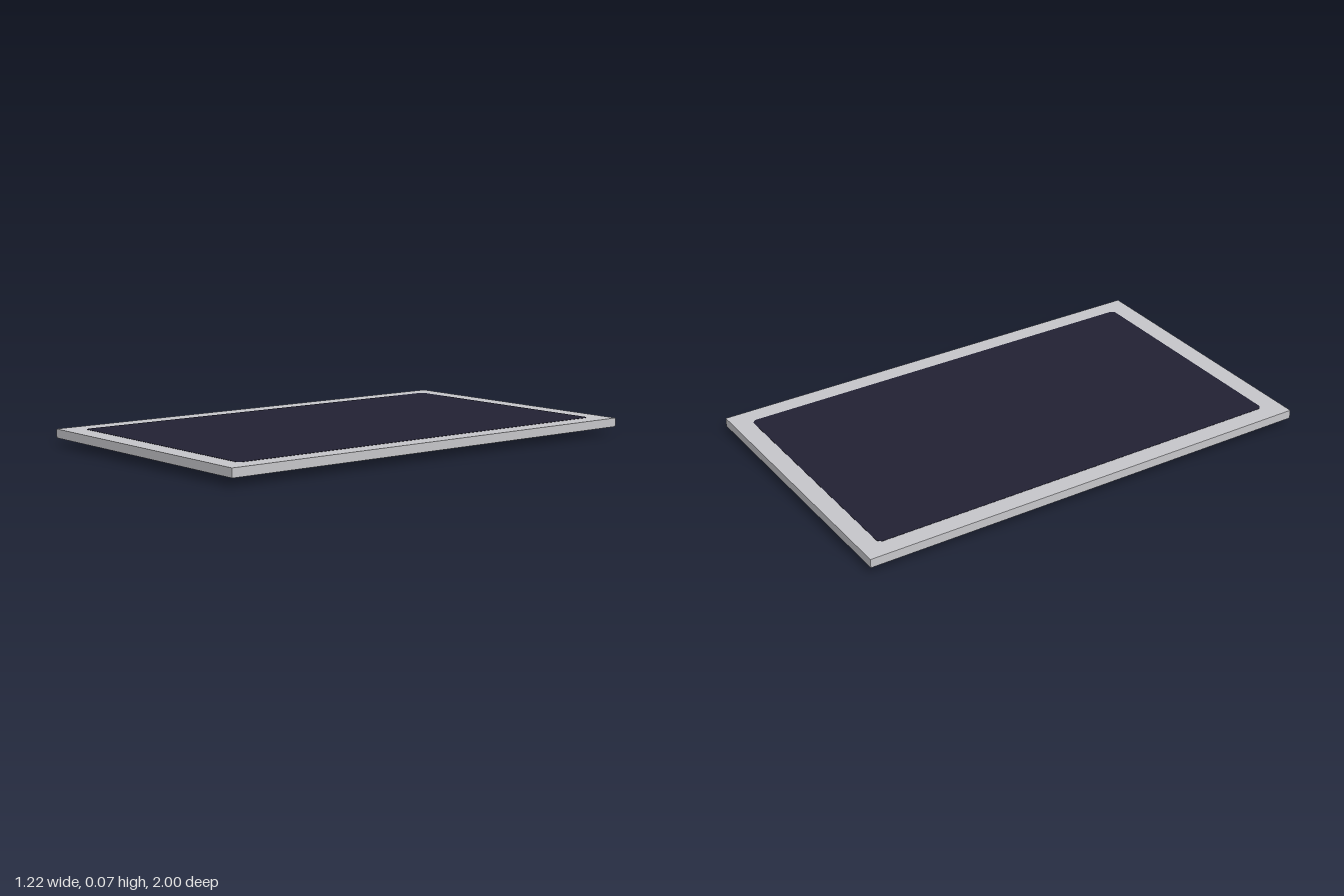
import * as THREE from 'three';

const W = 1.22, L = 2.0, RIM = 0.045, BOTTOM = 0.033, TOP = 0.07;

export function createModel() {
  const model = new THREE.Group();
  model.name = 'solarPanel';

  const material = (name, color) => {
    const m = new THREE.MeshStandardMaterial({ color });
    m.name = name;
    return m;
  };
  const aluminium = material('pale aluminium', 0xc6c6ca);
  const navy = material('dark navy cells', 0x222133);
  const slate = material('slate plastic', 0x6b7280);
  const black = material('black cable', 0x1c1c20);

  const add = (name, geometry, mat, x, y, z) => {
    const mesh = new THREE.Mesh(geometry, mat);
    mesh.name = name;
    mesh.position.set(x, y, z);
    model.add(mesh);
    return mesh;
  };
  // Flat outline with cut corners, extruded upwards
  const slab = (w, l, cut, height, hole) => {
    const outline = (a, b, c) => [
      [-a + c, -b], [a - c, -b], [a, -b + c], [a, b - c],
      [a - c, b], [-a + c, b], [-a, b - c], [-a, -b + c],
    ].map(([x, y]) => new THREE.Vector2(x, y));
    const rect = (a, b) => [[-a, -b], [a, -b], [a, b], [-a, b]].map(([x, y]) => new THREE.Vector2(x, y));
    const shape = new THREE.Shape(cut ? outline(w / 2, l / 2, cut) : rect(w / 2, l / 2));
    if (hole) shape.holes.push(new THREE.Path(rect(w / 2 - hole, l / 2 - hole)));
    return new THREE.ExtrudeGeometry(shape, { depth: height, bevelEnabled: false }).rotateX(-Math.PI / 2);
  };

  // Hollow rim, with the backing sheet set flush with its top
  add('frame', slab(W, L, 0, TOP - BOTTOM, RIM), aluminium, 0, BOTTOM, 0);
  add('backSheet', new THREE.BoxGeometry(W - 2 * RIM, 0.005, L - 2 * RIM), aluminium, 0, TOP - 0.0025, 0);

  // Cell field on top
  add('cells', slab(1.06, 1.835, 0.015, 0.001), navy, 0, TOP, -0.003);

  // Connection box and cable underneath
  add('junctionBox', new THREE.BoxGeometry(0.135, 0.034, 0.2), slate, 0, 0.017, 0);
  const cable = add('cable', new THREE.CylinderGeometry(0.005, 0.005, 0.4, 10).rotateX(Math.PI / 2), black, -0.16, 0.018, 0);
  cable.scale.x = 0.8;

  return model;
}
